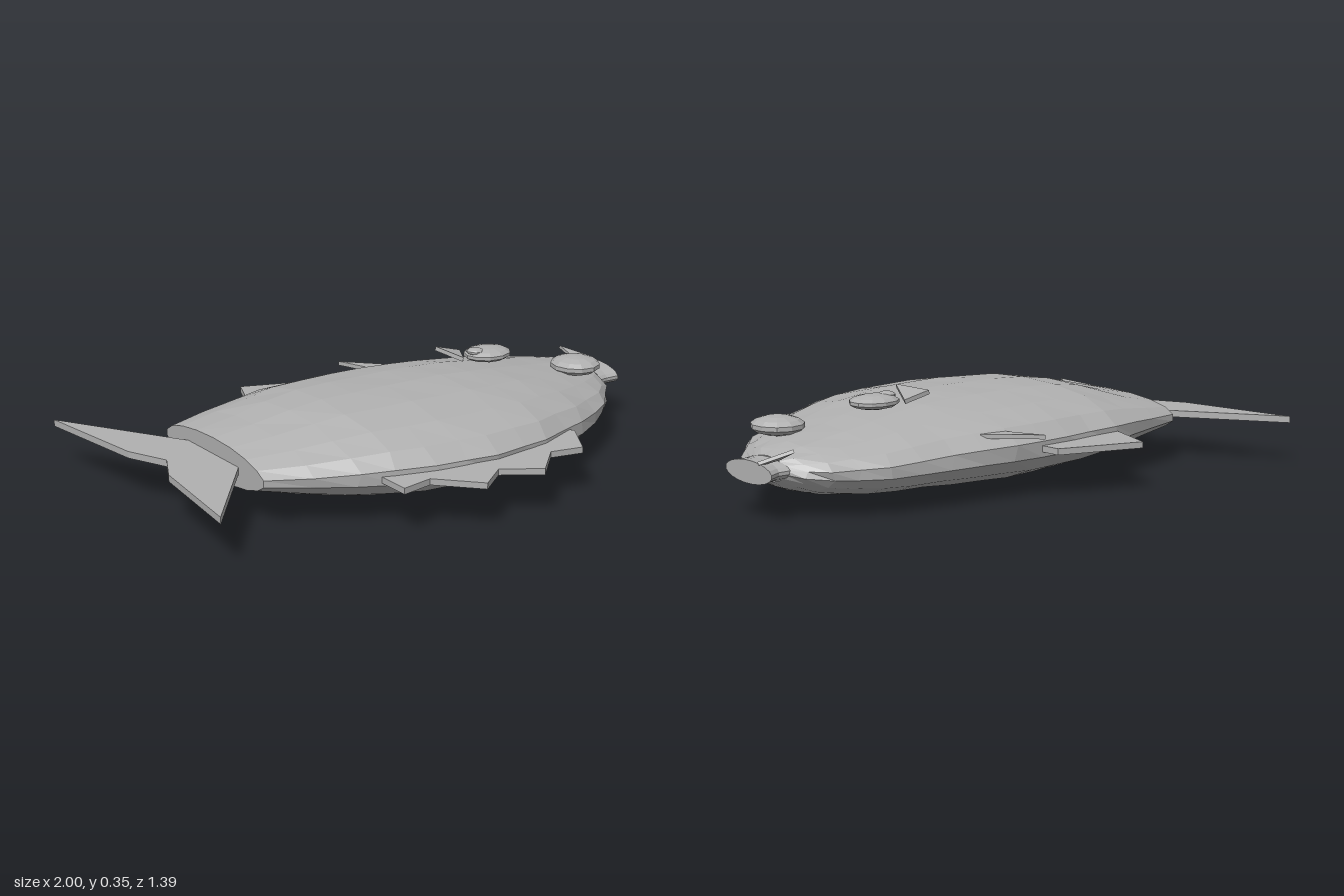
import * as THREE from 'three';

const grey = new THREE.MeshStandardMaterial({ color: 0xb0b0b0, flatShading: true });
grey.name = 'grey';

// Closed loft along x; each station is [x, zMin, zMax, yMin, yMax]
function loft(stations, sides, wobble = 0) {
  const pos = [], idx = [];
  stations.forEach(([x, z0, z1, y0, y1], i) => {
    for (let j = 0; j < sides; j++) {
      const a = ((j + 0.5) / sides) * Math.PI * 2;
      const k = 1 + wobble * Math.sin(i * 2.3 + j * 1.7) * Math.cos(i * 1.1 - j * 2.9);
      const shift = wobble * 0.6 * Math.sin(j * 2.1 + i * 3.7);
      const inner = i > 0 && i < stations.length - 1;
      pos.push(x + (inner ? shift : 0),
        (y0 + y1) / 2 + (y1 - y0) / 2 * k * Math.sin(a),
        (z0 + z1) / 2 + (z1 - z0) / 2 * k * Math.cos(a) / Math.cos(Math.PI / sides));
    }
  });
  const n = stations.length;
  for (let i = 0; i < n - 1; i++) {
    for (let j = 0; j < sides; j++) {
      const a = i * sides + j, b = i * sides + (j + 1) % sides;
      idx.push(a, a + sides, b, b, a + sides, b + sides);
    }
  }
  // End caps
  [0, n - 1].forEach((i) => {
    const [x, z0, z1, y0, y1] = stations[i];
    const c = pos.length / 3;
    pos.push(x, (y0 + y1) / 2, (z0 + z1) / 2);
    for (let j = 0; j < sides; j++) {
      const a = i * sides + j, b = i * sides + (j + 1) % sides;
      if (i === 0) idx.push(c, a, b); else idx.push(c, b, a);
    }
  });
  const g = new THREE.BufferGeometry();
  g.setAttribute('position', new THREE.Float32BufferAttribute(pos, 3));
  g.setIndex(idx);
  const flat = g.toNonIndexed();
  flat.computeVertexNormals();
  return flat;
}

// Horizontal plate from [x, z] points; its top lies at y = 0
function plate(points, thickness) {
  const shape = new THREE.Shape(points.map(([x, z]) => new THREE.Vector2(x, z)));
  const g = new THREE.ExtrudeGeometry(shape, { depth: thickness, bevelEnabled: false });
  return g.rotateX(Math.PI / 2);
}

export function createModel() {
  const fish = new THREE.Group();
  fish.name = 'flatfish';
  const add = (name, geometry, x = 0, y = 0, z = 0) => {
    const mesh = new THREE.Mesh(geometry, grey);
    mesh.name = name;
    mesh.position.set(x, y, z);
    fish.add(mesh);
    return mesh;
  };

  // Flattened body, lying on its side
  add('body', loft([
    [-0.72, -0.385, 0.26, 0.095, 0.235],
    [-0.58, -0.415, 0.35, 0.068, 0.265],
    [-0.45, -0.44, 0.42, 0.042, 0.295],
    [-0.33, -0.465, 0.465, 0.022, 0.315],
    [-0.2, -0.47, 0.5, 0.012, 0.32],
    [-0.08, -0.475, 0.515, 0.006, 0.323],
    [0.04, -0.475, 0.523, 0.005, 0.322],
    [0.16, -0.465, 0.51, 0.008, 0.32],
    [0.28, -0.445, 0.49, 0.013, 0.312],
    [0.4, -0.42, 0.44, 0.02, 0.3],
    [0.52, -0.405, 0.39, 0.028, 0.283],
    [0.63, -0.38, 0.325, 0.038, 0.265],
    [0.73, -0.335, 0.255, 0.053, 0.25],
    [0.81, -0.3, 0.175, 0.072, 0.235],
    [0.87, -0.24, 0.1, 0.095, 0.22],
    [0.91, -0.18, 0.01, 0.12, 0.205],
  ], 18, 0.012));

  // Mouth tube with a flared lip
  add('mouth', loft([
    [0.86, -0.2, 0.04, 0.125, 0.205],
    [0.94, -0.185, 0.025, 0.125, 0.2],
    [0.99, -0.21, 0.03, 0.125, 0.202],
  ], 20));

  // Small slanted barb above the mouth
  const barb = add('mouthBarb', plate([[0, 0], [0.09, 0.08], [0.075, 0.09], [0.015, 0.06]], 0.012), 0.905, 0.243, -0.215);
  barb.rotation.x = 0.5;

  // Fins in the plane of the body
  add('tailFin', plate([[-1, -0.7], [-0.945, -0.25], [-0.88, -0.1], [-0.945, 0.03],
    [-1, 0.46], [-0.72, 0.1], [-0.68, 0], [-0.68, -0.2], [-0.72, -0.235]], 0.024), 0, 0.177);
  add('backFin', plate([[-0.34, -0.46], [-0.26, -0.655], [0.04, -0.545], [0.04, -0.42], [-0.3, -0.42]], 0.022), 0, 0.176);
  add('bellyFin', plate([[-0.38, 0.38], [-0.38, 0.575], [-0.26, 0.55], [-0.13, 0.69], [-0.02, 0.605],
    [0.11, 0.69], [0.23, 0.57], [0.35, 0.595], [0.44, 0.44], [0.38, 0.38]], 0.022), 0, 0.176);
  add('backSpike', plate([[0.11, -0.555], [0.165, -0.41], [0.26, -0.4]], 0.015), 0, 0.234);

  // Domed eyes
  const eye = (name, rx, ry, rz, x, y, z) =>
    add(name, new THREE.SphereGeometry(1, 11, 7).scale(rx, ry, rz), x, y, z);
  eye('backEye', 0.093, 0.026, 0.08, 0.45, 0.326, -0.08);
  eye('pupil', 0.032, 0.014, 0.032, 0.395, 0.342, -0.08);
  eye('frontEye', 0.092, 0.034, 0.097, 0.752, 0.265, 0.06);

  // Tilted flap behind the eye
  const flap = add('eyeFlap', plate([[0, -0.17], [0.1, -0.155], [0, 0]], 0.015), 0.283, 0.357, 0);
  flap.rotation.z = -0.25;

  return fish;
}
